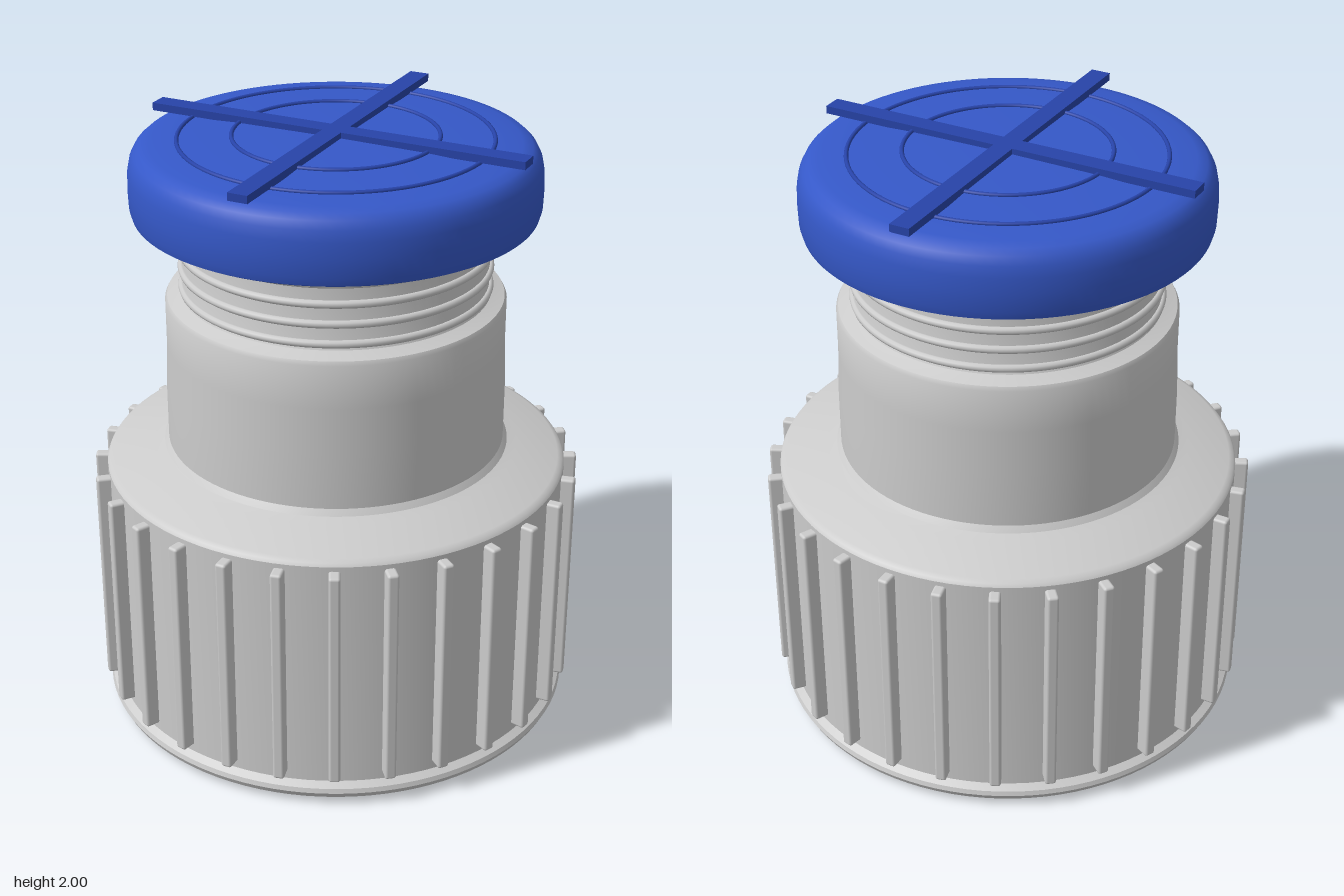
import * as THREE from 'three';
import { toCreasedNormals } from 'three/addons/utils/BufferGeometryUtils.js';
import { RoundedBoxGeometry } from 'three/addons/geometries/RoundedBoxGeometry.js';

const grey = new THREE.MeshStandardMaterial({ color: 0xcccccc });
const blue = new THREE.MeshStandardMaterial({ color: 0x3558c8 });
const darkBlue = new THREE.MeshStandardMaterial({ color: 0x2743a8 });

function add(parent, name, geometry, material, y = 0) {
  const mesh = new THREE.Mesh(geometry, material);
  mesh.name = name;
  mesh.position.y = y;
  parent.add(mesh);
  return mesh;
}

// Revolved profile, [radius, height] from bottom to top
function lathe(profile) {
  const points = profile.map(([r, y]) => new THREE.Vector2(r, y));
  return toCreasedNormals(new THREE.LatheGeometry(points, 96), 0.6);
}

function ring(radius, tube) {
  return new THREE.TorusGeometry(radius, tube, 10, 96).rotateX(Math.PI / 2);
}

export function createModel() {
  const model = new THREE.Group();
  model.name = 'cappedConnector';

  // Collar with bottom flange and sloping shoulder
  add(model, 'collar', lathe([
    [0, 0], [0.6, 0], [0.7, 0.01], [0.78, 0.025], [0.79, 0.045], [0.785, 0.06], [0.762, 0.075],
    [0.762, 0.875], [0.755, 0.885], [0.74, 0.892], [0.6, 0.93], [0.57, 0.94], [0.556, 0.96], [0.54, 0.98],
  ]), grey);

  // Grip ribs around the collar
  const grip = new THREE.Group();
  grip.name = 'gripRibs';
  model.add(grip);
  const ribGeometry = new RoundedBoxGeometry(0.037, 0.76, 0.06, 2, 0.009);
  const ribCount = 28;
  for (let i = 0; i < ribCount; i++) {
    const a = (i / ribCount) * Math.PI * 2;
    const rib = add(grip, 'gripRib', ribGeometry, grey);
    rib.position.set(Math.sin(a) * 0.777, 0.48, Math.cos(a) * 0.777);
    rib.rotation.y = a;
  }

  // Neck and its threaded upper part
  add(model, 'neck', lathe([
    [0.556, 0.95], [0.556, 1.15], [0.55, 1.3], [0.55, 1.445], [0.543, 1.458], [0.52, 1.466],
    [0.5, 1.474], [0.492, 1.49], [0.492, 1.76],
  ]), grey);
  for (let i = 0; i < 4; i++) {
    add(model, 'threadRidge', ring(0.493, 0.013), grey, 1.492 + i * 0.065);
  }

  // Cap with rounded rim and a slightly domed top
  add(model, 'cap', lathe([
    [0.48, 1.74], [0.5, 1.727], [0.58, 1.727], [0.585, 1.738], [0.63, 1.738], [0.643, 1.745],
    [0.65, 1.77], [0.652, 1.83], [0.65, 1.88], [0.643, 1.915], [0.63, 1.94], [0.612, 1.956],
    [0.58, 1.964], [0.5, 1.971], [0.33, 1.979], [0, 1.982],
  ]), blue);

  // Raised rings and cross bars on the cap
  add(model, 'innerRing', ring(0.325, 0.007), darkBlue, 1.981);
  add(model, 'outerRing', ring(0.495, 0.007), darkBlue, 1.973);
  const bar = new THREE.BoxGeometry(1.28, 0.025, 0.065);
  add(model, 'crossBar', bar, darkBlue, 1.9875);
  add(model, 'crossBar', bar, darkBlue, 1.9875).rotation.y = Math.PI / 2;

  return model;
}
